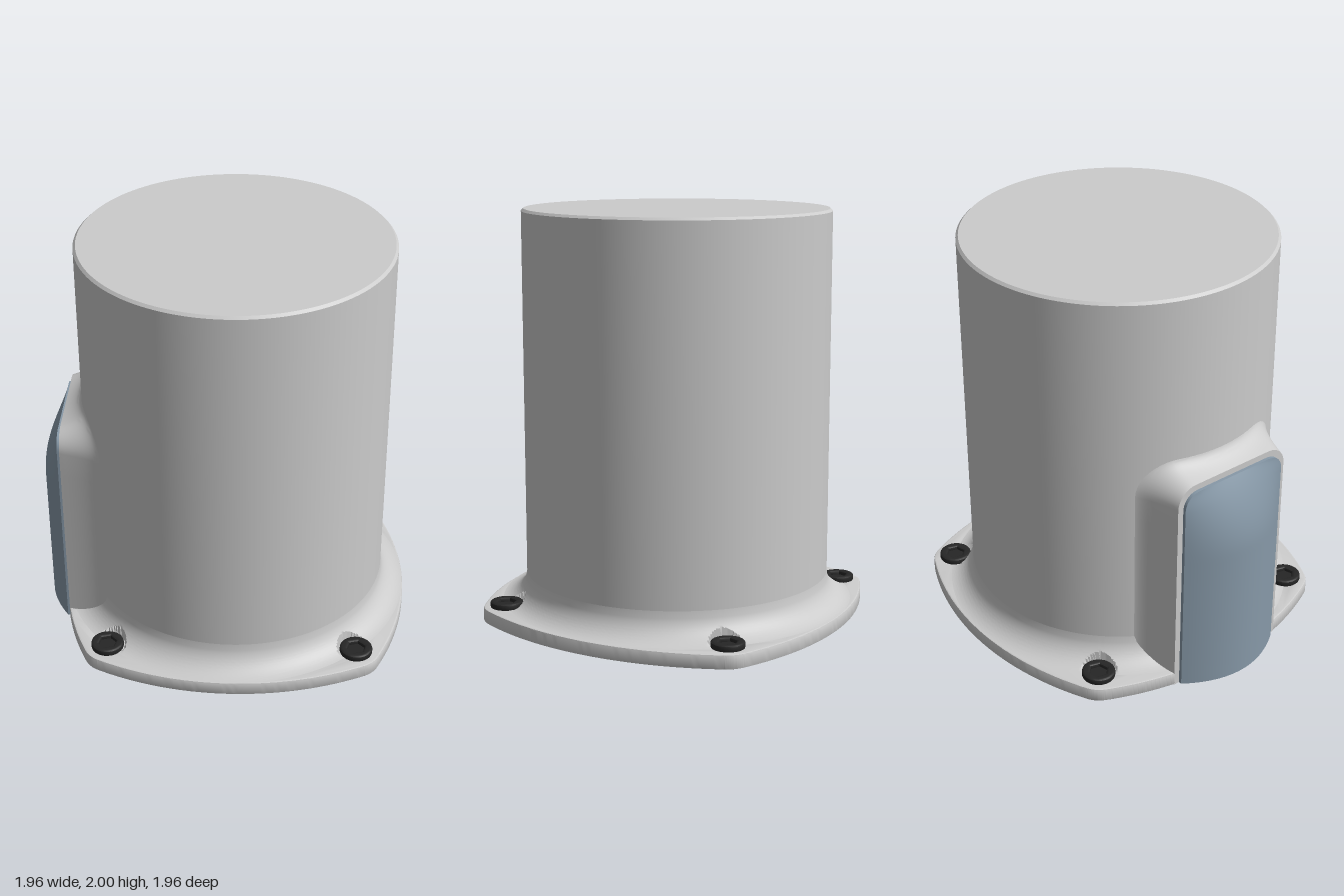
import * as THREE from 'three';
import { toCreasedNormals } from 'three/addons/utils/BufferGeometryUtils.js';

const GREY = new THREE.MeshStandardMaterial({ color: 0xcccccc });
const BLUE = new THREE.MeshStandardMaterial({ color: 0x8799a8 });
const DARK = new THREE.MeshStandardMaterial({ color: 0x262626 });
const R = 0.75, INNER = 0.71, SCREW_R = 0.865, FACE = 0.834;

function mesh(name, geometry, material = GREY, crease = 0.5) {
  const m = new THREE.Mesh(toCreasedNormals(geometry, crease), material);
  m.name = name;
  return m;
}

// Surface from a grid of points; faces look along d/di x d/dj
function grid(ni, nj, point) {
  const pos = [], idx = [];
  for (let i = 0; i <= ni; i++) for (let j = 0; j <= nj; j++) pos.push(...point(i, j));
  for (let i = 0; i < ni; i++) for (let j = 0; j < nj; j++) {
    const a = i * (nj + 1) + j, b = a + nj + 1;
    idx.push(a, b, a + 1, b, b + 1, a + 1);
  }
  const g = new THREE.BufferGeometry();
  g.setAttribute('position', new THREE.Float32BufferAttribute(pos, 3));
  g.setIndex(idx);
  return g;
}

function circlePath(x, y, r) {
  return new THREE.Path().absarc(x, y, r, 0, Math.PI * 2, true);
}

// Rounded rectangle hole centred on x = 0
function windowPath(hw, y0, y1, r) {
  const p = new THREE.Path();
  p.absarc(hw - r, y0 + r, r, -Math.PI / 2, 0, false);
  p.absarc(hw - r, y1 - r, r, 0, Math.PI / 2, false);
  p.absarc(-hw + r, y1 - r, r, Math.PI / 2, Math.PI, false);
  p.absarc(-hw + r, y0 + r, r, Math.PI, Math.PI * 1.5, false);
  p.closePath();
  return p;
}

// Four bowed sides with softened corners; one side is cut flat behind the cover
function flangeGeometry() {
  const arcR = 1.485, offset = 0.615, half = 0.45, cut = 0.2207;
  const shape = new THREE.Shape();
  for (let k = 0; k < 4; k++) {
    const a = Math.PI / 4 + k * Math.PI / 2;
    const cx = -offset * Math.cos(a), cy = -offset * Math.sin(a);
    if (k === 2) {
      shape.absarc(cx, cy, arcR, a - half, a - cut, false);
      shape.absarc(cx, cy, arcR, a + cut, a + half, false);
    } else shape.absarc(cx, cy, arcR, a - half, a + half, false);
    const c = a + Math.PI / 4, n = a + Math.PI / 2;
    shape.quadraticCurveTo(0.988 * Math.cos(c), 0.988 * Math.sin(c),
      -offset * Math.cos(n) + arcR * Math.cos(n - half),
      -offset * Math.sin(n) + arcR * Math.sin(n - half));
    shape.holes.push(circlePath(SCREW_R * Math.cos(c), SCREW_R * Math.sin(c), 0.04));
  }
  shape.holes.push(circlePath(0, 0, INNER + 0.01));
  const b = 0.008;
  return new THREE.ExtrudeGeometry(shape, {
    depth: 0.07 - 2 * b, bevelEnabled: true, bevelSize: b, bevelThickness: b,
    bevelOffset: -b, bevelSegments: 2, curveSegments: 32,
  }).translate(0, 0, b).rotateX(-Math.PI / 2);
}

// Concave sweep from flange to barrel, with a round pocket for each screw
function filletGeometry() {
  const f = 0.14, n = 28, pts = [];
  for (let i = 0; i <= n; i++) {
    const r = 0.868 + (R - 0.868) * i / n;
    pts.push(new THREE.Vector2(r, 0.07 + f - Math.sqrt(Math.max(0, f * f - (R + f - r) ** 2))));
  }
  const g = new THREE.LatheGeometry(pts, 480), p = g.attributes.position;
  for (let i = 0; i < p.count; i++) {
    const x = Math.abs(p.getX(i)), z = Math.abs(p.getZ(i));
    const d = Math.min(Math.hypot(x - SCREW_R, z), Math.hypot(x, z - SCREW_R));
    if (d < 0.09) p.setY(i, Math.min(p.getY(i), 0.0715));
  }
  return g;
}

function makeScrew() {
  const screw = new THREE.Group();
  screw.name = 'screw';
  const shape = new THREE.Shape().absarc(0, 0, 0.08, 0, Math.PI * 2, false);
  const hex = [];
  for (let i = 0; i < 6; i++) hex.push(new THREE.Vector2(0.045 * Math.cos(i * Math.PI / 3), -0.045 * Math.sin(i * Math.PI / 3)));
  shape.holes.push(new THREE.Path(hex));
  const head = new THREE.ExtrudeGeometry(shape, {
    depth: 0.015, bevelEnabled: true, bevelSize: 0.012, bevelThickness: 0.01,
    bevelOffset: -0.012, bevelSegments: 3, curveSegments: 24,
  }).rotateX(-Math.PI / 2).translate(0, 0.075, 0);
  screw.add(mesh('screwHead', head, DARK));
  screw.add(mesh('screwSocketFloor', new THREE.CylinderGeometry(0.06, 0.06, 0.01, 24).translate(0, 0.075, 0), DARK));
  screw.add(mesh('screwTip', new THREE.CylinderGeometry(0.038, 0.038, 0.05, 20).translate(0, 0.045, 0)));
  return screw;
}

// Outline of the side housing with rounded top corners, grown by g
function housingOutline(g) {
  const hw = 0.325 + g, top = 1.11 + g, r = 0.1 + g, pts = [];
  for (let i = 0; i < 8; i++) pts.push([hw, (top - r) * i / 8]);
  for (let i = 0; i <= 10; i++) {
    const a = i / 10 * Math.PI / 2;
    pts.push([hw - r + r * Math.cos(a), top - r + r * Math.sin(a)]);
  }
  for (let i = 1; i <= 8; i++) pts.push([(hw - r) * (1 - i / 8), top]);
  return pts.concat(pts.slice(0, -1).reverse().map(([x, y]) => [-x, y]));
}

// Side housing, built facing +z and then turned to the diagonal
function makeHousing() {
  const group = new THREE.Group();
  group.name = 'sideHousing';
  const rings = [], n = 14;
  for (let i = 0; i <= n; i++) rings.push(housingOutline(0.1 * i / n));
  const flare = grid(n, rings[0].length - 1, (i, j) => {
    const [x, y] = rings[i][j], barrel = Math.sqrt(R * R - x * x) - 0.004;
    return [x, y, barrel + (FACE - barrel) * Math.pow(1 - i / n, 2.3)];
  });
  group.add(mesh('housingFlare', flare, GREY, 0.7));
  const face = new THREE.ShapeGeometry(new THREE.Shape(rings[0].map(([x, y]) => new THREE.Vector2(x, y))));
  group.add(mesh('housingFace', face.translate(0, 0, FACE)));

  // Bulged cover with a thin upright edge
  const cols = 26, rows = 40, top = 1.08, corner = 0.08;
  const cover = grid(cols, rows, (i, j) => {
    const s = Math.min(Math.max((j - 1) / (rows - 2), 0), 1);
    const y = top * (1 - (1 - s) ** 1.6);
    const c = Math.max(0, y - (top - corner));
    const w = 0.295 - corner + Math.sqrt(Math.max(0, corner * corner - c * c));
    const v = Math.min(Math.max((i - 1) / (cols - 2) * 2 - 1, -1), 1);
    const rim = i === 0 || i === cols || j === 0 || j === rows;
    const fade = 1 - (Math.max(0, y - 0.72) / (top - 0.72)) ** 2;
    return [w * v, y, rim ? FACE - 0.004 : FACE + 0.016 + 0.105 * fade * (1 - v * v)];
  });
  group.add(mesh('housingCover', cover, BLUE, 0.7));

  // Flat pad inside the barrel with recessed windows
  const pad = new THREE.Shape([[-0.31, 0.01], [0.31, 0.01], [0.31, 1.1], [-0.31, 1.1]].map(p => new THREE.Vector2(...p)));
  for (const y of [0.28, 0.61]) pad.holes.push(windowPath(0.165, y, y + 0.23, 0.03));
  group.add(mesh('innerPad', new THREE.ExtrudeGeometry(pad, { depth: 0.04, bevelEnabled: false }).translate(0, 0, 0.636)));
  group.add(mesh('windowFloor', new THREE.BoxGeometry(0.38, 0.7, 0.02).translate(0, 0.56, 0.69)));
  group.rotation.y = -Math.PI / 4;
  return group;
}

export function createModel() {
  const model = new THREE.Group();
  model.name = 'flangedHousing';

  // Hollow barrel, closed at the top
  const profile = [[0, 1.95], [INNER, 1.95], [INNER, 0.004], [R - 0.01, 0.004], [R, 0.02],
    [R, 1.988], [R - 0.012, 2], [0, 2]].map(p => new THREE.Vector2(...p));
  model.add(mesh('barrel', new THREE.LatheGeometry(profile, 128)));
  model.add(mesh('flange', flangeGeometry()));
  model.add(mesh('flangeFillet', filletGeometry()));

  for (let k = 0; k < 4; k++) {
    const screw = makeScrew(), a = k * Math.PI / 2;
    screw.position.set(SCREW_R * Math.cos(a), 0, SCREW_R * Math.sin(a));
    model.add(screw);
  }
  model.add(makeHousing());
  return model;
}
